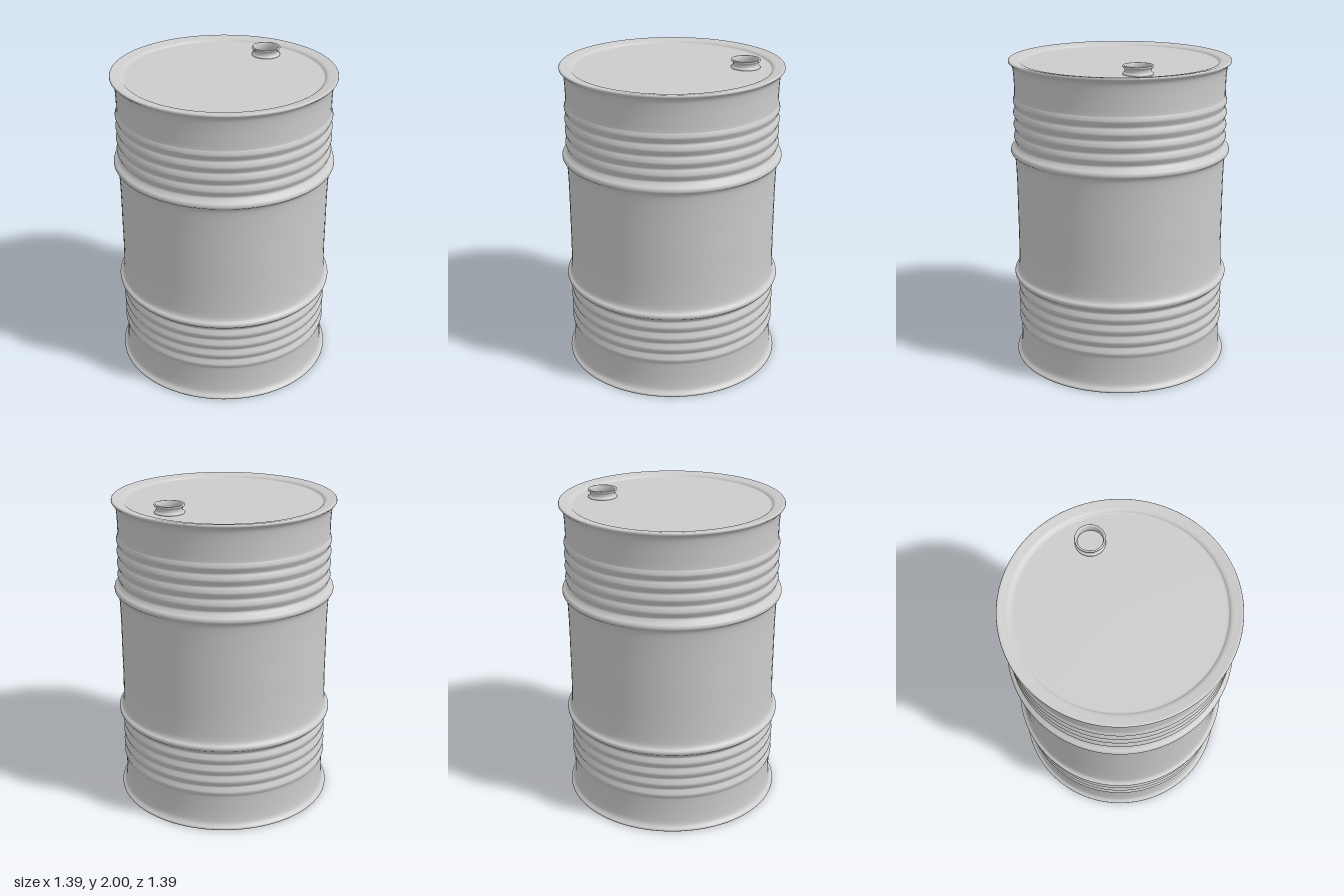
import * as THREE from 'three';

const V = (r, y) => new THREE.Vector2(r, y);
const material = new THREE.MeshStandardMaterial({ color: 0xcccccc, side: THREE.DoubleSide });

function lathe(name, points, segments) {
  const mesh = new THREE.Mesh(new THREE.LatheGeometry(points, segments), material);
  mesh.name = name;
  return mesh;
}

// Smooth curve through a few [radius, height] pairs
const smooth = (pairs, n) => new THREE.SplineCurve(pairs.map(([r, y]) => V(r, y))).getPoints(n);

export function createModel() {
  const group = new THREE.Group();
  group.name = 'barrel';
  const MID = 0.985, WALL = 0.664;

  // Upper half of the wall, as heights above the middle
  const half = [
    [WALL, 0], [WALL, 0.2], [0.668, 0.34], [0.676, 0.385], [0.693, 0.402],
    [0.696, 0.416], [0.69, 0.43], [0.674, 0.443],
  ];
  // Four shallow corrugations outside each rolling hoop
  for (let i = 0; i < 4; i++) {
    const y = 0.462 + i * 0.076;
    half.push([0.661, y], [0.667, y + 0.018], [0.674, y + 0.038], [0.669, y + 0.058]);
  }
  half.push([WALL, 0.766], [WALL, 0.85], [0.668, 0.92], [0.675, 0.95], [0.688, 0.965]);

  const up = half.map(([r, y]) => [r, MID + y]);
  const down = half.slice(1).reverse().map(([r, y]) => [r, MID - y]);
  group.add(lathe('wall', smooth([...down, ...up], 260), 96));

  // Rolled rim stepping down to a recessed flat end; mirrored for the bottom
  for (const s of [1, -1]) {
    const rim = smooth([
      [0.688, 0.965], [0.695, 0.972], [0.694, 0.982], [0.685, 0.985],
      [0.66, 0.981], [0.635, 0.977], [0.622, 0.971], [0.614, 0.963], [0.604, 0.961],
    ], 32).map(p => V(p.x, MID + s * p.y));
    const end = [V(0.604, MID + s * 0.961), V(0, MID + s * 0.961)];
    if (s < 0) { rim.reverse(); end.reverse(); }
    group.add(lathe(s > 0 ? 'topRim' : 'bottomRim', rim, 96));
    group.add(lathe(s > 0 ? 'lid' : 'base', end, 96));
  }

  // Open filler neck: a waisted tube with flared ends
  const neck = lathe('fillerNeck', smooth([
    [0.09, 0], [0.09, 0.008], [0.081, 0.016], [0.08, 0.034], [0.09, 0.044],
    [0.091, 0.052], [0.086, 0.055], [0.079, 0.052], [0.075, 0.036], [0.075, 0.018], [0.079, 0],
  ], 40), 40);
  neck.position.set(-0.127, 1.945, -0.435);
  group.add(neck);

  return group;
}
